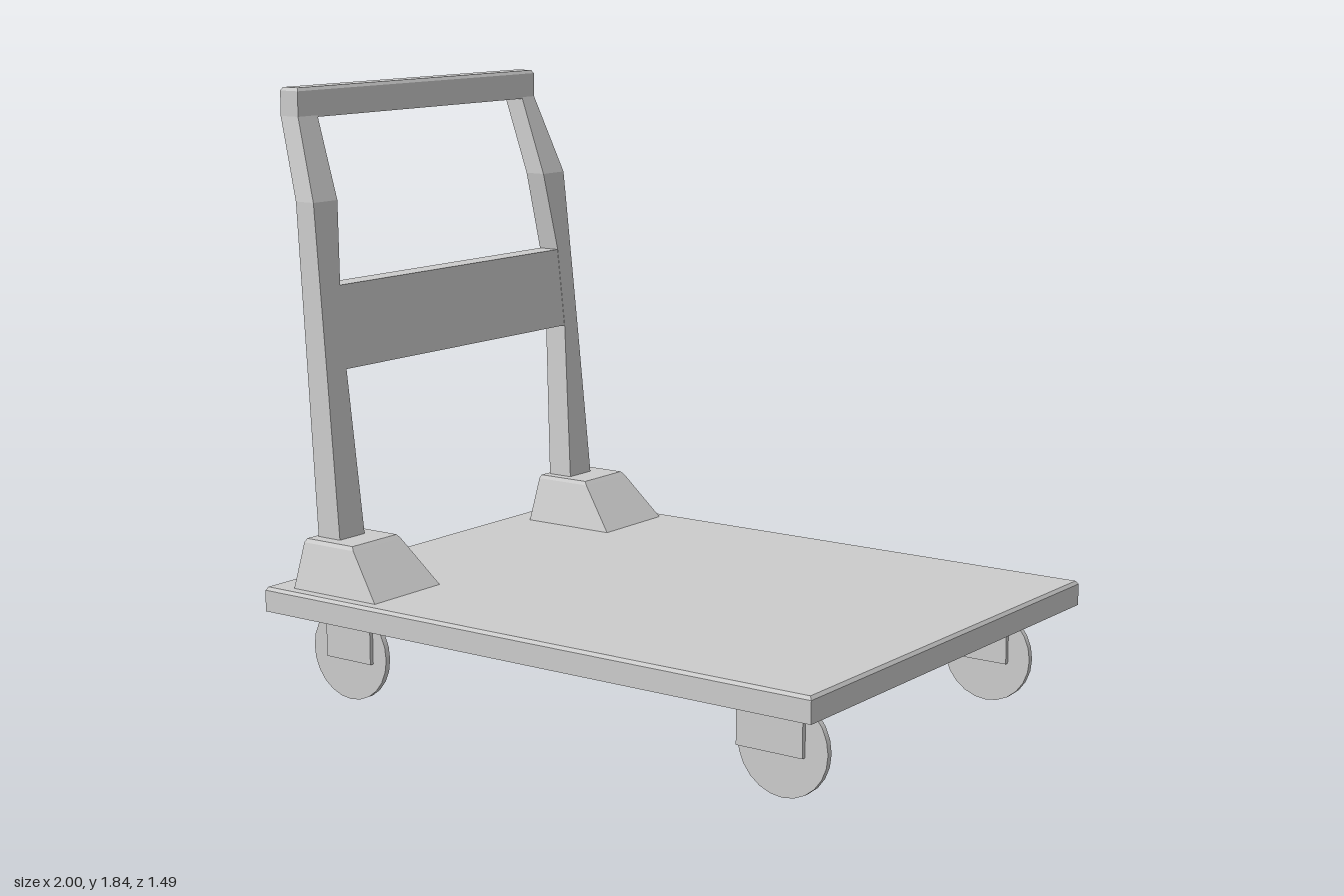
import * as THREE from 'three';

const material = new THREE.MeshStandardMaterial({ color: 0xcccccc });

// Solid through rectangular sections [y, x0, x1, z0, z1], listed from bottom to top.
function loft(sections) {
  const points = [], faces = [];
  const quad = (a, b, c, d) => faces.push(a, b, c, a, c, d);
  sections.forEach(([y, x0, x1, z0, z1], i) => {
    points.push(x0, y, z1, x1, y, z1, x1, y, z0, x0, y, z0);
    if (i === 0) return;
    const lo = 4 * (i - 1), hi = 4 * i;
    for (let j = 0; j < 4; j++) {
      const k = (j + 1) % 4;
      quad(lo + j, lo + k, hi + k, hi + j);
    }
  });
  const t = 4 * (sections.length - 1);
  quad(3, 2, 1, 0);
  quad(t, t + 1, t + 2, t + 3);
  const indexed = new THREE.BufferGeometry();
  indexed.setAttribute('position', new THREE.Float32BufferAttribute(points, 3));
  indexed.setIndex(faces);
  const geometry = indexed.toNonIndexed();
  geometry.computeVertexNormals();
  return geometry;
}

// The same sections reflected to the other side of the cart.
const mirrorZ = (sections) => sections.map(([y, x0, x1, z0, z1]) => [y, x0, x1, -z1, -z0]);

export function createModel() {
  const model = new THREE.Group();
  const add = (name, geometry, parent = model) => {
    const mesh = new THREE.Mesh(geometry, material);
    mesh.name = name;
    parent.add(mesh);
    return mesh;
  };

  // Platform with a slim chamfer around its upper edge
  add('deck', loft([
    [0.285, -0.937, 1.0, -0.745, 0.745],
    [0.35, -0.937, 1.0, -0.745, 0.745],
    [0.36, -0.93, 0.993, -0.738, 0.738],
  ]));

  // Shallow mounting pads, forks and wheels at the four corners
  const axles = [
    { name: 'rear', x: -0.763, pad: [-0.87, -0.66], base: [-0.93, -0.44], fork: [-0.845, -0.67] },
    { name: 'front', x: 0.797, pad: [0.7, 0.88], base: [0.08, 0.995], fork: [0.655, 0.87] },
  ];
  for (const { name, x, pad, base, fork } of axles) {
    for (const side of [1, -1]) {
      const caster = new THREE.Group();
      caster.name = name + (side > 0 ? 'LeftCaster' : 'RightCaster');
      const padSections = [
        [0.25, ...pad, 0.54, 0.58],
        [0.287, ...base, 0.37, 0.74],
      ];
      add('mountingPad', loft(side > 0 ? padSections : mirrorZ(padSections)), caster);

      const forkMesh = add('fork', new THREE.BoxGeometry(fork[1] - fork[0], 0.145, 0.044), caster);
      forkMesh.position.set((fork[0] + fork[1]) / 2, 0.1975, side * 0.56);

      const wheel = add('wheel', new THREE.CylinderGeometry(0.145, 0.145, 0.018, 24).rotateX(Math.PI / 2), caster);
      wheel.position.set(x, 0.145, side * 0.56);
      model.add(caster);
    }
  }

  // Tapered sockets that hold the handle posts
  const socket = [
    [0.355, -0.855, -0.53, 0.415, 0.708],
    [0.495, -0.846, -0.65, 0.458, 0.668],
    [0.506, -0.842, -0.66, 0.465, 0.66],
  ];
  add('leftSocket', loft(socket));
  add('rightSocket', loft(mirrorZ(socket)));

  // Posts leaning back, then bending toward the grip
  add('leftPost', loft([
    [0.48, -0.829, -0.743, 0.512, 0.622],
    [1.005, -0.868, -0.79, 0.528, 0.613],
    [1.255, -0.887, -0.813, 0.523, 0.609],
    [1.505, -0.906, -0.836, 0.502, 0.605],
    [1.75, -1.0, -0.93, 0.479, 0.562],
  ]));
  add('rightPost', loft([
    [0.48, -0.829, -0.743, -0.605, -0.494],
    [1.005, -0.868, -0.79, -0.596, -0.528],
    [1.255, -0.887, -0.813, -0.591, -0.523],
    [1.505, -0.906, -0.836, -0.586, -0.48],
    [1.75, -1.0, -0.93, -0.552, -0.489],
  ]));

  // Leaning cross panel between the posts
  add('crossPanel', loft([
    [1.005, -0.867, -0.791, -0.54, 0.54],
    [1.255, -0.886, -0.814, -0.54, 0.54],
  ]));

  // Grip bar across the top
  add('gripBar', loft([
    [1.745, -1.0, -0.93, -0.552, 0.562],
    [1.825, -1.0, -0.93, -0.552, 0.562],
    [1.835, -0.994, -0.936, -0.546, 0.556],
  ]));

  return model;
}
